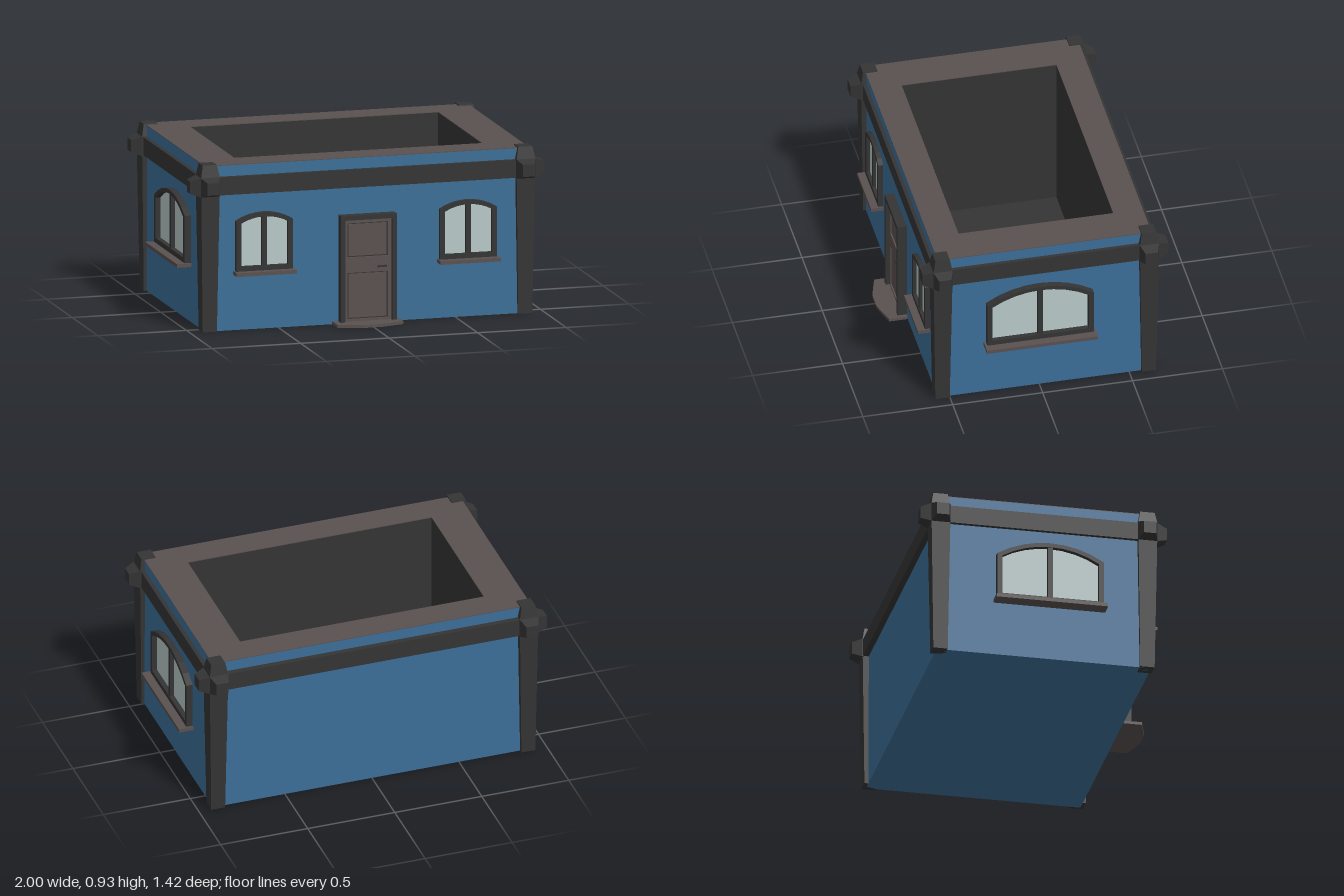
import * as THREE from 'three';

const mat = (name, color, extra = {}) => {
  const m = new THREE.MeshStandardMaterial({ color, ...extra });
  m.name = name;
  return m;
};

export function createModel() {
  const blue = mat('bluePaint', 0x3c6f98);
  const dark = mat('darkTimber', 0x343434);
  const brown = mat('brownStone', 0x5a5150);
  const glass = mat('paleGlass', 0xb9c9c8);
  const model = new THREE.Group();
  model.name = 'house';

  const add = (parent, name, geo, material) => {
    const m = new THREE.Mesh(geo, material);
    m.name = name;
    parent.add(m);
    return m;
  };
  // Box from its minimum and maximum corners
  const box = (parent, name, material, x0, x1, y0, y1, z0, z1) => {
    const g = new THREE.BoxGeometry(x1 - x0, y1 - y0, z1 - z0);
    g.translate((x0 + x1) / 2, (y0 + y1) / 2, (z0 + z1) / 2);
    return add(parent, name, g, material);
  };
  // Square tapered block, half widths at bottom and top
  const taper = (bottom, top, h) => new THREE.CylinderGeometry(top * Math.SQRT2, bottom * Math.SQRT2, h, 4)
    .rotateY(Math.PI / 4).toNonIndexed();
  const taperMesh = (parent, name, material, bottom, top, h) => {
    const g = taper(bottom, top, h);
    g.computeVertexNormals();
    return add(parent, name, g, material);
  };
  const rect = (T, x0, x1, y0, y1) => new T([[x0, y0], [x1, y0], [x1, y1], [x0, y1]]
    .map(([x, y]) => new THREE.Vector2(x, y)));
  const extrude = (shape, depth) => new THREE.ExtrudeGeometry(shape, { depth, bevelEnabled: false });

  // Flat ring in plan (z values given as world z), raised between two heights
  const ring = (name, material, o, i, y0, y1) => {
    const s = rect(THREE.Shape, o[0], o[1], -o[3], -o[2]);
    s.holes.push(rect(THREE.Path, i[0], i[1], -i[3], -i[2]));
    add(model, name, extrude(s, y1 - y0).rotateX(-Math.PI / 2).translate(0, y0, 0), material);
  };

  // Walls, base, top rim and the dark hollow
  const outer = [-0.915, 0.915, -0.625, 0.565];
  const hollow = [-0.7, 0.7, -0.46, 0.4];
  const lining = [-0.71, 0.71, -0.47, 0.41];
  ring('walls', blue, outer, lining, 0.02, 0.915);
  box(model, 'base', blue, -0.915, 0.915, 0, 0.02, -0.625, 0.565);
  ring('roofRim', brown, outer, hollow, 0.915, 0.919);
  ring('hollowLining', dark, lining, hollow, 0.02, 0.915);
  box(model, 'hollowFloor', dark, -0.71, 0.71, 0.02, 0.03, -0.47, 0.41);

  // Beams around the walls
  box(model, 'frontBeam', dark, -0.89, 0.89, 0.755, 0.855, 0.55, 0.585);
  box(model, 'backBeam', dark, -0.89, 0.89, 0.755, 0.855, -0.657, -0.61);
  for (const s of [-1, 1])
    box(model, 'sideBeam', dark, s * 0.92 - 0.017, s * 0.92 + 0.017, 0.755, 0.855, -0.605, 0.54);

  // Corner columns with a tapered cap and two outward beam ends
  for (const sx of [-1, 1]) for (const sz of [-1, 1]) {
    const c = new THREE.Group();
    c.name = 'cornerColumn';
    c.position.set(sx * 0.891, 0, sz > 0 ? 0.541 : -0.607);
    taperMesh(c, 'post', dark, 0.04, 0.052, 0.755).position.y = 0.3775;
    box(c, 'joint', dark, -0.054, 0.054, 0.752, 0.858, -0.054, 0.054);
    taperMesh(c, 'cap', dark, 0.053, 0.04, 0.067).position.y = 0.8915;
    const ex = taperMesh(c, 'sideBeamEnd', dark, 0.053, 0.034, 0.055);
    ex.position.set(sx * 0.0815, 0.805, 0);
    ex.rotation.z = -sx * Math.PI / 2;
    const ez = taperMesh(c, 'endBeamEnd', dark, 0.053, 0.034, 0.055);
    ez.position.set(0, 0.805, sz * 0.0815);
    ez.rotation.x = sz * Math.PI / 2;
    model.add(c);
  }

  // Segmental arched outline: half width, bottom, spring height and crown
  const arch = (T, w, y0, y1, y2, n = 8) => {
    const rise = y2 - y1, r = (w * w + rise * rise) / (2 * rise), a = Math.asin(w / r);
    const pts = [new THREE.Vector2(-w, y0), new THREE.Vector2(w, y0)];
    for (let i = 0; i <= n; i++) {
      const t = a * (1 - 2 * i / n);
      pts.push(new THREE.Vector2(r * Math.sin(t), y2 - r + r * Math.cos(t)));
    }
    return new T(pts);
  };

  // Window facing +z with its wall plane at z = 0
  const makeWindow = (name, w, spring, crown, sillW, sillD, frameD) => {
    const g = new THREE.Group();
    g.name = name;
    const s = arch(THREE.Shape, w, 0.325, spring, crown);
    s.holes.push(arch(THREE.Path, w - 0.028, 0.355, spring - 0.012, crown - 0.023));
    add(g, 'windowFrame', extrude(s, frameD), dark);
    add(g, 'glass', extrude(arch(THREE.Shape, w - 0.015, 0.34, spring - 0.008, crown - 0.015), 0.008), glass);
    box(g, 'mullion', dark, -0.014, 0.014, 0.34, crown - 0.012, 0, frameD - 0.004);
    box(g, 'sill', brown, -sillW, sillW, 0.308, 0.328, -0.01, sillD);
    model.add(g);
    return g;
  };
  for (const x of [-0.585, 0.567])
    makeWindow('frontWindow', 0.16, 0.605, 0.65, 0.17, 0.07, 0.028).position.set(x, 0, 0.565);
  for (const s of [-1, 1]) {
    const win = makeWindow('sideWindow', 0.296, 0.59, 0.677, 0.309, 0.083, 0.036);
    win.position.set(s * 0.915, 0, 0);
    win.rotation.y = s * Math.PI / 2;
  }

  // Door with frame, two sunken panels and a handle
  const door = new THREE.Group();
  door.name = 'door';
  door.position.set(-0.003, 0, 0.565);
  const frame = new THREE.Shape([[-0.158, 0.012], [-0.133, 0.012], [-0.133, 0.58], [0.133, 0.58],
    [0.133, 0.012], [0.158, 0.012], [0.158, 0.605], [-0.158, 0.605]].map((p) => new THREE.Vector2(...p)));
  add(door, 'doorFrame', extrude(frame, 0.052), dark);
  const leaf = rect(THREE.Shape, -0.133, 0.133, 0.012, 0.58);
  const panels = [[0.028, 0.285], [0.37, 0.56]];
  for (const [y0, y1] of panels) {
    leaf.holes.push(rect(THREE.Path, -0.115, 0.115, y0, y1));
    box(door, 'panelGroove', dark, -0.115, 0.115, y0, y1, 0, 0.018);
    box(door, 'doorPanel', brown, -0.108, 0.108, y0 + 0.007, y1 - 0.007, 0, 0.024);
  }
  add(door, 'doorLeaf', extrude(leaf, 0.03), brown);
  box(door, 'handle', dark, 0.052, 0.104, 0.31, 0.32, 0.036, 0.044);
  box(door, 'handleStem', dark, 0.094, 0.104, 0.31, 0.32, 0.03, 0.038);
  model.add(door);

  // Doorstep with a faceted front edge
  const step = new THREE.Shape([[-0.195, -0.55], [-0.195, -0.668], [-0.06, -0.708], [0.045, -0.708],
    [0.178, -0.668], [0.178, -0.55]].map((p) => new THREE.Vector2(...p)));
  add(model, 'doorstep', extrude(step, 0.016).rotateX(-Math.PI / 2), brown);

  return model;
}
